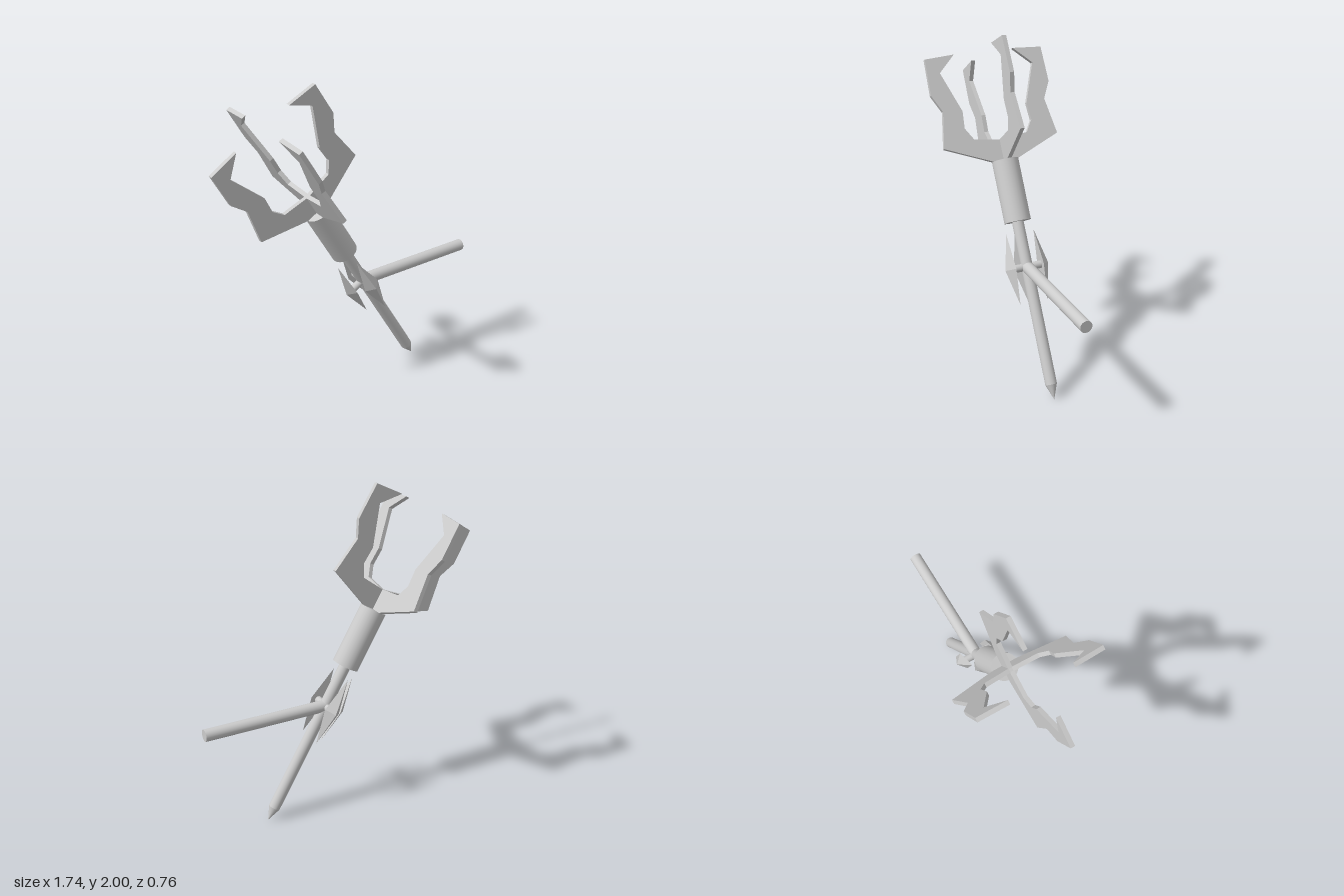
import * as THREE from 'three';

export function createModel() {
  const model = new THREE.Group();
  const material = new THREE.MeshStandardMaterial({ color: 0xcccccc });

  const add = (parent, name, geometry) => {
    const mesh = new THREE.Mesh(geometry, material);
    mesh.name = name;
    parent.add(mesh);
    return mesh;
  };
  // Upright cylinder spanning two heights
  const rod = (parent, name, radius, y0, y1) => {
    const mesh = add(parent, name, new THREE.CylinderGeometry(radius, radius, y1 - y0, 24));
    mesh.position.y = (y0 + y1) / 2;
    return mesh;
  };

  // Tilted staff, built upright with its point near the origin
  const staff = new THREE.Group();
  staff.name = 'staff';
  staff.position.set(0.495, 0.01, 0);
  staff.rotation.z = Math.PI / 6;
  model.add(staff);

  rod(staff, 'shaft', 0.035, 0.085, 1.1);
  rod(staff, 'collar', 0.08, 1.057, 1.43);
  const point = add(staff, 'point', new THREE.ConeGeometry(0.035, 0.09, 24));
  point.rotation.z = Math.PI;
  point.position.y = 0.04;

  // Claw head: two crossed plates, each a mirrored pair of hooked prongs
  const half = [
    [0.08, 1.43], [0.363, 1.546], [0.325, 1.764], [0.378, 1.868],
    [0.372, 2.085], [0.189, 2.096], [0.297, 1.994], [0.206, 1.753],
    [0.214, 1.649], [0.169, 1.576], [0.01, 1.556],
  ];
  const mirrored = half.map(([x, y]) => [-x, y]).reverse();
  const outline = [...half, ...mirrored].map(([x, y]) => new THREE.Vector2(x, y));
  for (let i = 0; i < 2; i++) {
    const geometry = new THREE.ExtrudeGeometry(new THREE.Shape(outline), { depth: 0.026, bevelEnabled: false });
    geometry.translate(0, 0, -0.013);
    add(staff, 'clawPlate' + (i + 1), geometry).rotation.y = i * Math.PI / 2;
  }

  // Three diamond studs on pegs, around the shaft; the handle takes the fourth side
  const studGeometry = new THREE.ConeGeometry(1, 0.05, 4).toNonIndexed();
  studGeometry.scale(0.052, 1, 0.213);
  studGeometry.computeVertexNormals();
  for (const angle of [Math.PI / 2, Math.PI, -Math.PI / 2]) {
    const arm = new THREE.Group();
    arm.name = 'studArm';
    arm.position.y = 0.784;
    arm.rotation.y = angle;
    staff.add(arm);
    const peg = add(arm, 'peg', new THREE.CylinderGeometry(0.023, 0.023, 0.095, 20));
    peg.rotation.z = -Math.PI / 2;
    peg.position.x = 0.0475;
    const stud = add(arm, 'stud', studGeometry);
    // Apex outward, long diagonal along the shaft
    stud.rotation.set(-Math.PI / 2, -Math.PI / 2, 0, 'XYZ');
    stud.quaternion.setFromRotationMatrix(new THREE.Matrix4().makeBasis(
      new THREE.Vector3(0, 0, 1), new THREE.Vector3(1, 0, 0), new THREE.Vector3(0, 1, 0)));
    stud.position.x = 0.113;
  }

  // Level side handle
  const handle = add(model, 'sideHandle', new THREE.CylinderGeometry(0.036, 0.036, 0.765, 24));
  handle.rotation.z = Math.PI / 2;
  handle.position.set(0.4855, 0.69, 0);

  return model;
}
